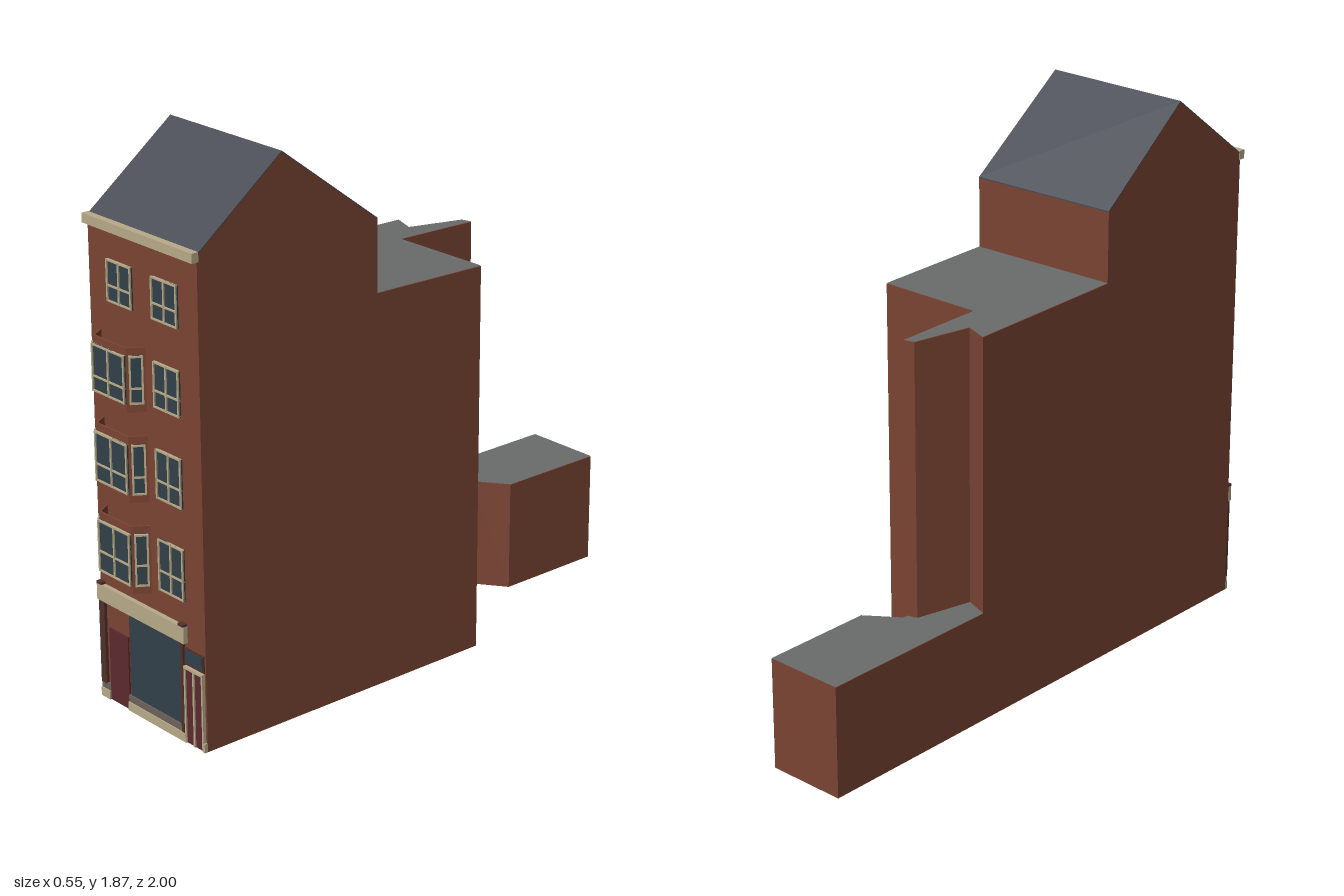
import * as THREE from 'three';

const mat = (color, side = THREE.FrontSide) =>
  new THREE.MeshStandardMaterial({ color, side, flatShading: true });
const brick = mat(0x7a4433), darkBrick = mat(0x52302a), slate = mat(0x494c55), felt = mat(0x6a6c6b);
const cream = mat(0xb9ab8a), glass = mat(0x32414a), red = mat(0x5c2a2f), stone = mat(0x6d625c);
const FRONT = 0.94;

function add(parent, name, geometry, material) {
  const mesh = new THREE.Mesh(geometry, material);
  mesh.name = name;
  parent.add(mesh);
  return mesh;
}

// Box given by its x and y limits, standing from z0 to z1
function panel(parent, name, x0, x1, y0, y1, z0, z1, material) {
  const mesh = add(parent, name, new THREE.BoxGeometry(x1 - x0, y1 - y0, z1 - z0), material);
  mesh.position.set((x0 + x1) / 2, (y0 + y1) / 2, (z0 + z1) / 2);
  return mesh;
}

// Upright block over a plan of [x, z] corners, with a gently falling flat roof
function planBlock(parent, name, plan, height, fall) {
  const shape = new THREE.Shape(plan.map(([x, z]) => new THREE.Vector2(x, -z)));
  const tilt = (geometry) => {
    const p = geometry.attributes.position;
    for (let i = 0; i < p.count; i++) {
      if (p.getY(i) > 0.1) p.setY(i, p.getY(i) + fall * p.getZ(i));
    }
    geometry.computeVertexNormals();
    return geometry;
  };
  const body = new THREE.ExtrudeGeometry(shape, { depth: height, bevelEnabled: false }).rotateX(-Math.PI / 2);
  const roof = new THREE.ShapeGeometry(shape).rotateX(-Math.PI / 2).translate(0, height + 0.002, 0);
  add(parent, name + 'Walls', tilt(body), brick);
  add(parent, name + 'Roof', tilt(roof), felt);
}

// Profile of [z, y] points across the full width, with the back slightly skewed
function crossExtrude(parent, name, profile, material) {
  const shape = new THREE.Shape(profile.map(([z, y]) => new THREE.Vector2(z, y)));
  const geometry = new THREE.ExtrudeGeometry(shape, { depth: 0.535, bevelEnabled: false })
    .rotateY(-Math.PI / 2).translate(0.27, 0, 0);
  const p = geometry.attributes.position;
  for (let i = 0; i < p.count; i++) {
    if (p.getX(i) < 0 && p.getZ(i) < 0.4) {
      p.setX(i, -0.269);
      p.setZ(i, p.getZ(i) + 0.02);
    }
  }
  geometry.computeVertexNormals();
  add(parent, name, geometry, material);
}

// Glazed window with a cream frame, mullions and one transom at height ySplit
function makeWindow(parent, name, x0, x1, y0, y1, ySplit, z, columns = 2) {
  const g = new THREE.Group();
  g.name = name;
  parent.add(g);
  const t = 0.006, z1 = z + 0.01;
  panel(g, 'pane', x0, x1, y0, y1, z - 0.002, z + 0.005, glass);
  for (let i = 0; i <= columns; i++) {
    const x = x0 + (x1 - x0 - t) * i / columns;
    panel(g, 'mullion', x, x + t, y0, y1, z, z1, cream);
  }
  for (const y of [y0, ySplit, y1 - t]) panel(g, 'rail', x0, x1, y, y + t, z, z1 - 0.001, cream);
}

// Open three-sided bay, each side a thin wall with a window
function makeBay(parent, y0, y1, w0, w1, split) {
  const bay = new THREE.Group();
  bay.name = 'bayWindow';
  parent.add(bay);
  const plan = [[-0.22, FRONT], [-0.19, 0.99], [-0.025, 0.99], [0.008, FRONT]];
  for (let i = 0; i < 3; i++) {
    const [ax, az] = plan[i], [bx, bz] = plan[i + 1];
    const half = Math.hypot(bx - ax, bz - az) / 2;
    const side = new THREE.Group();
    side.name = 'baySide';
    side.position.set((ax + bx) / 2, 0, (az + bz) / 2);
    side.rotation.y = -Math.atan2(bz - az, bx - ax);
    panel(side, 'bayWall', -half, half, y0, y1, -0.006, 0, brick);
    const inset = i === 1 ? 0.001 : 0.008;
    makeWindow(side, 'bayGlazing', -half + inset, half - inset, w0, w1, split, 0, i === 1 ? 2 : 1);
    bay.add(side);
  }
}

export function createModel() {
  const model = new THREE.Group();
  model.name = 'townHouse';

  // Gabled front house and its two roof slopes
  const eave = [FRONT, 1.615], ridge = [0.615, 1.866], back = [0.24, 1.583];
  crossExtrude(model, 'frontHouse', [[FRONT, 0], eave, ridge, back, [0.24, 0]], brick);
  const lift = ([z, y]) => [z, y + 0.004];
  crossExtrude(model, 'frontRoofSlope', [eave, lift(eave), lift(ridge), ridge], slate);
  crossExtrude(model, 'backRoofSlope', [ridge, lift(ridge), lift(back), back], slate);

  // Tall rear wing and low back annex
  planBlock(model, 'rearWing', [[0.27, 0.24], [0.27, -0.2], [-0.105, -0.195], [-0.105, -0.51],
    [-0.14, -0.5], [-0.188, -0.305], [-0.272, -0.335], [-0.269, 0.26]], 1.338, 0.018);
  planBlock(model, 'annex', [[-0.272, -0.335], [-0.188, -0.305], [-0.14, -0.5], [-0.105, -0.51],
    [-0.105, -0.528], [0.005, -0.607], [0.005, -1], [-0.275, -1]], 0.386, 0);

  // Cornice
  panel(model, 'cornice', -0.267, 0.272, 1.595, 1.626, FRONT - 0.005, 0.96, cream);

  // Upper windows: [bottom, top, transom]
  const floors = [[0.48, 0.653, 0.545], [0.787, 0.95, 0.845], [1.084, 1.233, 1.137], [1.366, 1.502, 1.416]];
  for (const [y0, y1, split] of floors) makeWindow(model, 'window', 0.053, 0.177, y0, y1, split, FRONT);
  makeWindow(model, 'atticWindow', -0.168, -0.046, 1.366, 1.502, 1.416, FRONT);

  // Bays: [bottom, top, window bottom, window top, transom]
  const bays = [[0.45, 0.678, 0.478, 0.653, 0.545], [0.757, 0.975, 0.785, 0.95, 0.84], [1.054, 1.262, 1.082, 1.238, 1.13]];
  for (const b of bays) makeBay(model, ...b);

  // Shop front: fascia board, piers, display window, red door and base
  panel(model, 'fascia', -0.265, 0.182, 0.342, 0.398, FRONT, 0.956, cream);
  for (const x of [-0.265, 0.154]) {
    panel(model, 'fasciaCap', x, x + 0.026, 0.398, 0.406, FRONT, 0.957, darkBrick);
  }
  panel(model, 'leftPier', -0.265, -0.237, 0.05, 0.342, FRONT, 0.95, darkBrick);
  panel(model, 'rightPier', 0.153, 0.167, 0.03, 0.342, FRONT, 0.95, darkBrick);
  panel(model, 'displayWindow', -0.11, 0.151, 0.055, 0.335, FRONT, 0.945, glass);
  panel(model, 'displayFrame', -0.116, 0.157, 0.049, 0.341, FRONT, 0.943, darkBrick);
  panel(model, 'shopDoor', -0.22, -0.122, 0, 0.252, FRONT, 0.946, red);
  for (const [x0, x1] of [[-0.265, -0.22], [-0.122, 0.153]]) {
    panel(model, 'stoneBase', x0, x1, 0.03, 0.053, FRONT, 0.948, stone);
    panel(model, 'plinth', x0, x1, 0, 0.03, FRONT, 0.952, cream);
  }
  panel(model, 'plinth', 0.153, 0.172, 0, 0.03, FRONT, 0.952, cream);
  panel(model, 'plinth', 0.262, 0.27, 0, 0.03, FRONT, 0.952, cream);

  // House entrance: double door below a transom light
  const entrance = new THREE.Group();
  entrance.name = 'houseEntrance';
  model.add(entrance);
  panel(entrance, 'transomFrame', 0.168, 0.264, 0.268, 0.325, FRONT, 0.944, darkBrick);
  panel(entrance, 'transomLight', 0.174, 0.258, 0.275, 0.319, FRONT, 0.947, glass);
  panel(entrance, 'doorLeaves', 0.172, 0.262, 0, 0.262, FRONT, 0.946, red);
  for (const x of [0.17, 0.213, 0.256]) panel(entrance, 'doorPost', x, x + 0.007, 0, 0.262, FRONT, 0.951, cream);
  panel(entrance, 'doorHead', 0.17, 0.263, 0.256, 0.264, FRONT, 0.952, cream);

  return model;
}
